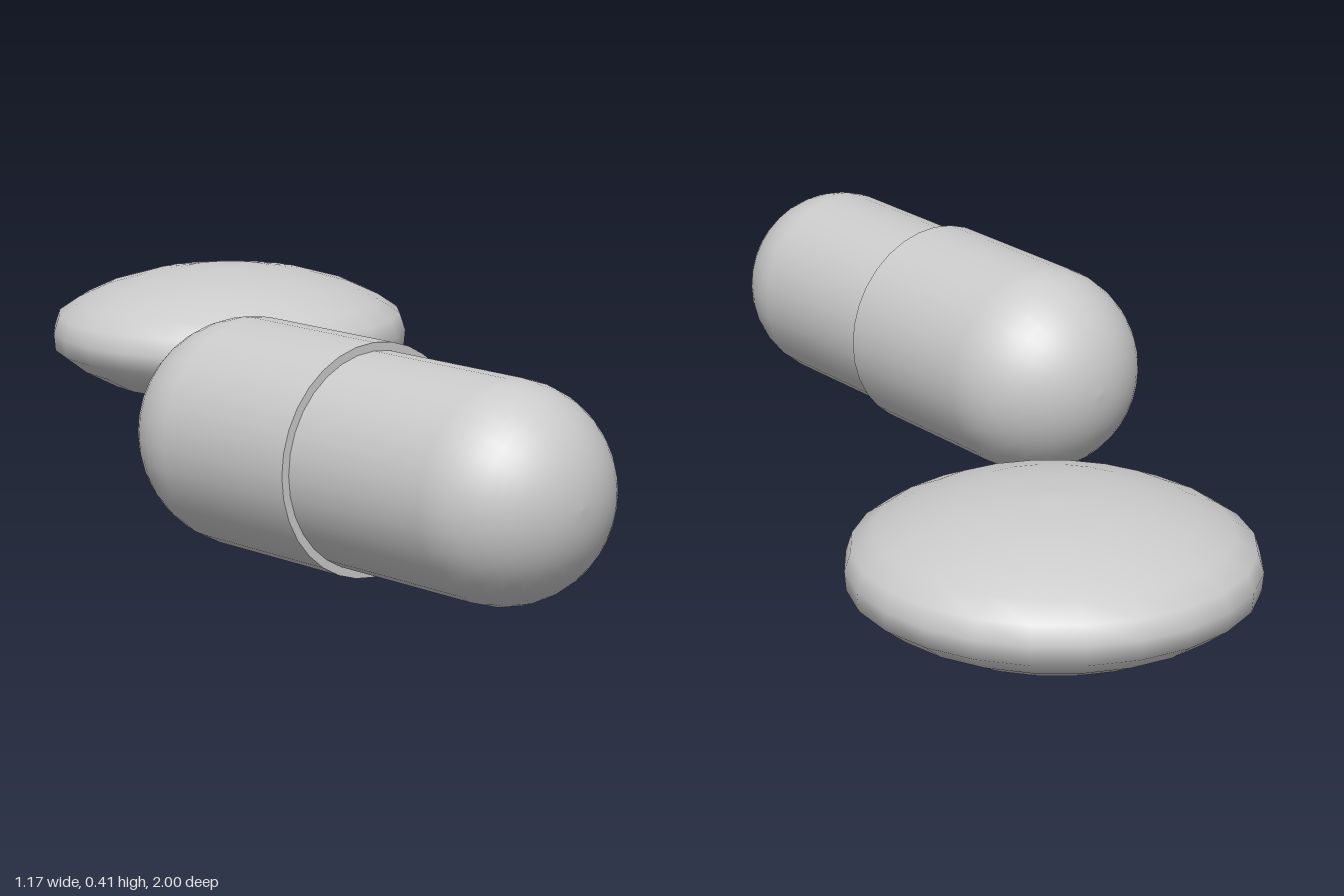
import * as THREE from 'three';

const material = new THREE.MeshStandardMaterial({ color: 0xcccccc, side: THREE.DoubleSide });

// Half of a capsule shell lying along z: open edge at z = 0, domed tip at +length
function shellHalf(name, radius, length, dome) {
  const points = [new THREE.Vector2(radius, 0)];
  const steps = 12;
  for (let i = 0; i <= steps; i++) {
    const a = (i / steps) * Math.PI / 2;
    points.push(new THREE.Vector2(i === steps ? 0 : radius * Math.cos(a), length - dome + dome * Math.sin(a)));
  }
  const geometry = new THREE.LatheGeometry(points, 32);
  geometry.rotateX(Math.PI / 2);
  const mesh = new THREE.Mesh(geometry, material);
  mesh.name = name;
  return mesh;
}

export function createModel() {
  const model = new THREE.Group();
  model.name = 'pills';

  // Two-piece capsule: the slightly wider cap slips over the body
  const capsule = new THREE.Group();
  capsule.name = 'capsule';
  capsule.position.set(-0.38, 0.207, 0.49);
  const body = shellHalf('capsuleBody', 0.191, 0.51, 0.185);
  const cap = shellHalf('capsuleCap', 0.206, 0.53, 0.206);
  cap.rotation.y = Math.PI;
  const lip = new THREE.Mesh(new THREE.RingGeometry(0.191, 0.206, 32), material);
  lip.name = 'capsuleLip';
  capsule.add(body, cap, lip);

  // Round biconvex tablet with a narrow rim
  const profile = [
    [0, -0.136], [0.09, -0.131], [0.17, -0.118], [0.25, -0.094], [0.315, -0.06], [0.358, -0.027],
    [0.361, 0.008], [0.35, 0.042], [0.31, 0.069], [0.25, 0.097], [0.17, 0.12], [0.09, 0.132], [0, 0.136],
  ].map(([r, y]) => new THREE.Vector2(r, y));
  const tablet = new THREE.Mesh(new THREE.LatheGeometry(profile, 24), material);
  tablet.name = 'tablet';
  tablet.position.set(0.22, 0.209, -0.64);

  model.add(capsule, tablet);
  return model;
}
